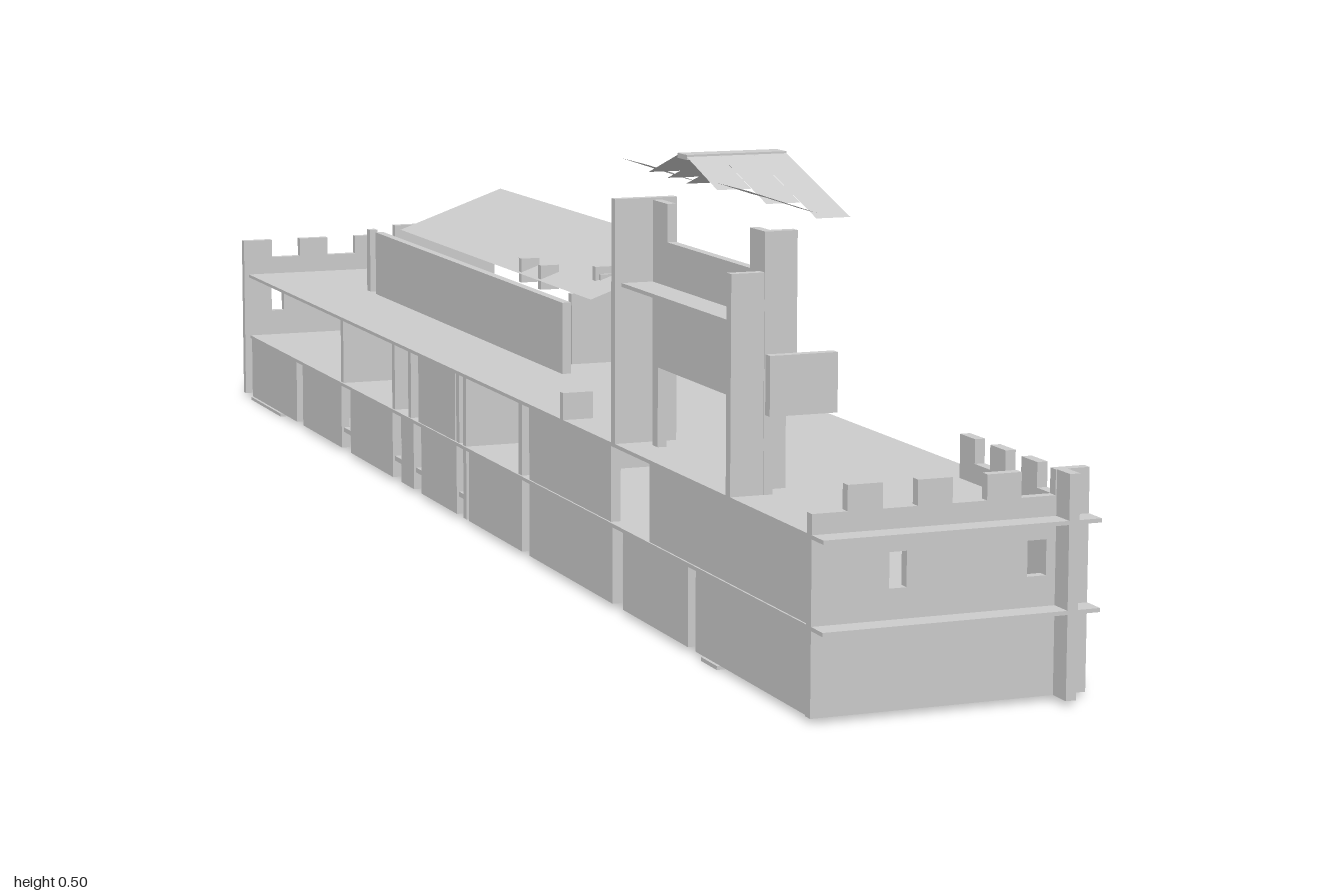
import * as THREE from 'three';

const material = new THREE.MeshStandardMaterial({ color: 0xcccccc, flatShading: true, side: THREE.DoubleSide });
const T = 0.011; // board thickness

export function createModel() {
  const model = new THREE.Group();

  // Box given by its limits on each axis
  const box = (name, x0, x1, y0, y1, z0, z1, parent = model) => {
    const mesh = new THREE.Mesh(new THREE.BoxGeometry(x1 - x0, y1 - y0, z1 - z0), material);
    mesh.position.set((x0 + x1) / 2, (y0 + y1) / 2, (z0 + z1) / 2);
    mesh.name = name;
    parent.add(mesh);
    return mesh;
  };

  // Upright board cut from an outline, with rectangular holes [u0, u1, v0, v1]
  const board = (name, outline, holes = []) => {
    const shape = new THREE.Shape(outline.map(([u, v]) => new THREE.Vector2(u, v)));
    for (const [a, b, c, d] of holes) {
      shape.holes.push(new THREE.Path([[a, c], [a, d], [b, d], [b, c]].map(([u, v]) => new THREE.Vector2(u, v))));
    }
    const mesh = new THREE.Mesh(new THREE.ExtrudeGeometry(shape, { depth: T, bevelEnabled: false }), material);
    mesh.name = name;
    model.add(mesh);
    return mesh;
  };

  // Outline with alternating merlons along its top
  const battlement = (u0, u1, low, base, top, count, firstHigh) => {
    const points = [[u1, low], [u0, low]];
    const step = (u1 - u0) / count;
    for (let i = 0; i < count; i++) {
      const v = (i % 2 === 0) === firstHigh ? top : base;
      points.push([u0 + i * step, v], [u0 + (i + 1) * step, v]);
    }
    return points;
  };

  // Storey floors
  box('middleFloor', -0.145, 0.145, 0.089, 0.093, -0.96, 1);
  box('upperFloor', -0.145, 0.145, 0.176, 0.18, -0.965, 1);
  box('rearBasePlate', -0.145, 0.035, 0, 0.004, -0.96, -0.81);
  box('frontBasePlate', -0.145, -0.08, 0, 0.004, 0.71, 0.75);

  // End walls with battlements and windows
  board('frontWall', battlement(-0.145, 0.145, 0.005, 0.2, 0.225, 8, false),
    [[-0.065, -0.047, 0.123, 0.158], [0.08, 0.1, 0.123, 0.158]]).position.z = 0.963;
  board('backWall', battlement(-0.145, 0.145, 0.005, 0.2, 0.225, 7, true),
    [[-0.105, -0.087, 0.123, 0.158]]).position.z = -1;

  // Battlemented side wall at the front corner, drawn along z
  const sideWall = board('sideBattlement', battlement(-1, -0.77, 0.093, 0.2, 0.225, 7, true),
    [[-0.89, -0.87, 0.123, 0.158]]);
  sideWall.rotation.y = Math.PI / 2;
  sideWall.position.x = 0.11;

  // Lower and upper side panels
  const panels = (name, x, y0, y1, spans) => {
    for (const [z0, z1] of spans) box(name, x, x + T, y0, y1, z0, z1);
  };
  panels('leftLowerPanel', 0.11, 0.005, 0.09, [
    [0.2, 1], [-0.01, 0.165], [-0.19, -0.055], [-0.27, -0.22], [-0.485, -0.305], [-0.705, -0.525], [-0.96, -0.745]]);
  panels('rightLowerPanel', -0.143, 0.005, 0.09, [
    [0.69, 0.965], [0.49, 0.67], [0.2, 0.46], [-0.01, 0.165], [-0.19, -0.055], [-0.27, -0.22],
    [-0.485, -0.305], [-0.705, -0.525], [-0.96, -0.745]]);
  panels('leftUpperPanel', 0.11, 0.093, 0.177, [[0.57, 0.775], [0.2, 0.455], [-0.2, -0.06]]);
  panels('rightUpperPanel', -0.143, 0.093, 0.177, [[0.57, 0.965], [0.2, 0.455], [-0.2, -0.06]]);

  // Cross walls between the floors
  for (const z of [0.57, 0.17, -0.025, -0.05, -0.235, -0.3, -0.52]) {
    box('upperCrossWall', -0.143, 0.145, 0.093, 0.177, z - T / 2, z + T / 2);
  }
  for (const z of [0.17, -0.025, -0.74]) {
    box('lowerCrossWall', -0.143, 0.145, 0.005, 0.09, z - T / 2, z + T / 2);
  }

  // Low toothed walkway inside the bottom storey
  box('walkway', -0.14, -0.115, 0.026, 0.032, -0.6, 0.08);
  for (let i = 0; i < 16; i++) box('walkwayTooth', -0.115, -0.075, 0.026, 0.032, -0.59 + i * 0.042, -0.575 + i * 0.042);
  for (let i = 0; i < 4; i++) box('smallPost', -0.02, 0, 0.093, 0.12, -0.76 - i * 0.03, -0.755 - i * 0.03);

  // Long hall on the roof terrace
  box('hallLongWall', -0.036, -0.025, 0.18, 0.265, -0.71, 0.02);
  box('hallEndPost', -0.036, -0.025, 0.18, 0.265, -0.75, -0.735);
  const gable = [[0, 0.18], [0.145, 0.18], [0.145, 0.314], [0.109, 0.314], [0.109, 0.287],
    [0.037, 0.287], [0.037, 0.278], [0, 0.265]];
  board('hallFrontWall', gable).position.z = -0.055;
  box('hallBackWall', 0, 0.145, 0.18, 0.27, -0.746, -0.735);

  // Sloping plate given by its four corners
  const plate = (name, corners) => {
    const geometry = new THREE.BufferGeometry();
    geometry.setAttribute('position', new THREE.Float32BufferAttribute(corners.flat(), 3));
    geometry.setIndex([0, 1, 2, 0, 2, 3]);
    geometry.computeVertexNormals();
    const mesh = new THREE.Mesh(geometry, material);
    mesh.name = name;
    model.add(mesh);
  };
  plate('hallRoof', [[0, 0.267, 0.02], [0.145, 0.318, 0.02], [0.145, 0.318, -0.71], [0, 0.267, -0.71]]);
  for (const [x, z] of [[0.015, -0.235], [0.015, -0.165], [0.045, -0.055], [0.115, -0.055]]) {
    box('roofPeg', x - 0.012, x + 0.012, 0.25 + x * 0.35, 0.28 + x * 0.35, z - 0.005, z + 0.005);
  }
  for (const z of [-0.2, -0.3, -0.42, -0.53]) box('floorTile', 0.06, 0.1, 0.18, 0.196, z - 0.03, z + 0.03);

  // Tower: stepped front wall, rear wall, side wall and shelf
  board('towerFrontWall', [[-0.145, 0.18], [-0.11, 0.18], [-0.11, 0.26], [-0.075, 0.26], [-0.075, 0.44],
    [-0.11, 0.44], [-0.11, 0.4], [-0.145, 0.4]]).position.z = 0.77;
  box('towerFrontLeg', -0.11, -0.075, 0.18, 0.26, 0.745, 0.756);
  box('towerArm', -0.11, -0.0375, 0.26, 0.32, 0.785, 0.796);
  box('towerRearWall', -0.145, -0.075, 0.18, 0.44, 0.46, 0.471);
  box('towerSideWall', -0.11, -0.1, 0.265, 0.4, 0.49, 0.78);
  box('towerSidePier', -0.11, -0.1, 0.18, 0.44, 0.745, 0.782);
  box('towerSidePier', -0.11, -0.1, 0.265, 0.44, 0.49, 0.53);
  box('towerRearLeg', -0.11, -0.1, 0.18, 0.265, 0.49, 0.505);
  box('towerShelf', -0.145, -0.075, 0.35, 0.354, 0.49, 0.78);
  box('terraceBlock', -0.145, -0.11, 0.18, 0.21, 0.305, 0.315);

  // Broken tower roof: stepped strips either side of the ridge
  const ridge = 0.655;
  for (const side of [1, -1]) {
    [0.09, 0.127, 0.165].forEach((reach, i) => {
      const x0 = -0.145 + i * 0.036, x1 = x0 + 0.036;
      const z0 = ridge + side * 0.012, z1 = ridge + side * reach;
      const drop = 0.505 - reach * 0.3;
      plate('towerRoofSlope', [[x0, 0.503, z0], [x0, drop, z1], [x1, drop, z1], [x1, 0.503, z0]]);
      if (i < 2) {
        const za = z1, zb = ridge + side * 0.165;
        const ya = 0.485 - i * 0.012, yb = ya - 0.012;
        plate('towerRoofCorner', [[x0, ya, za], [x0, ya, zb], [x1, yb, zb], [x1, yb, za]]);
      }
    });
  }
  box('towerRidge', -0.145, -0.037, 0.5, 0.505, ridge - 0.012, ridge + 0.012);

  return model;
}
